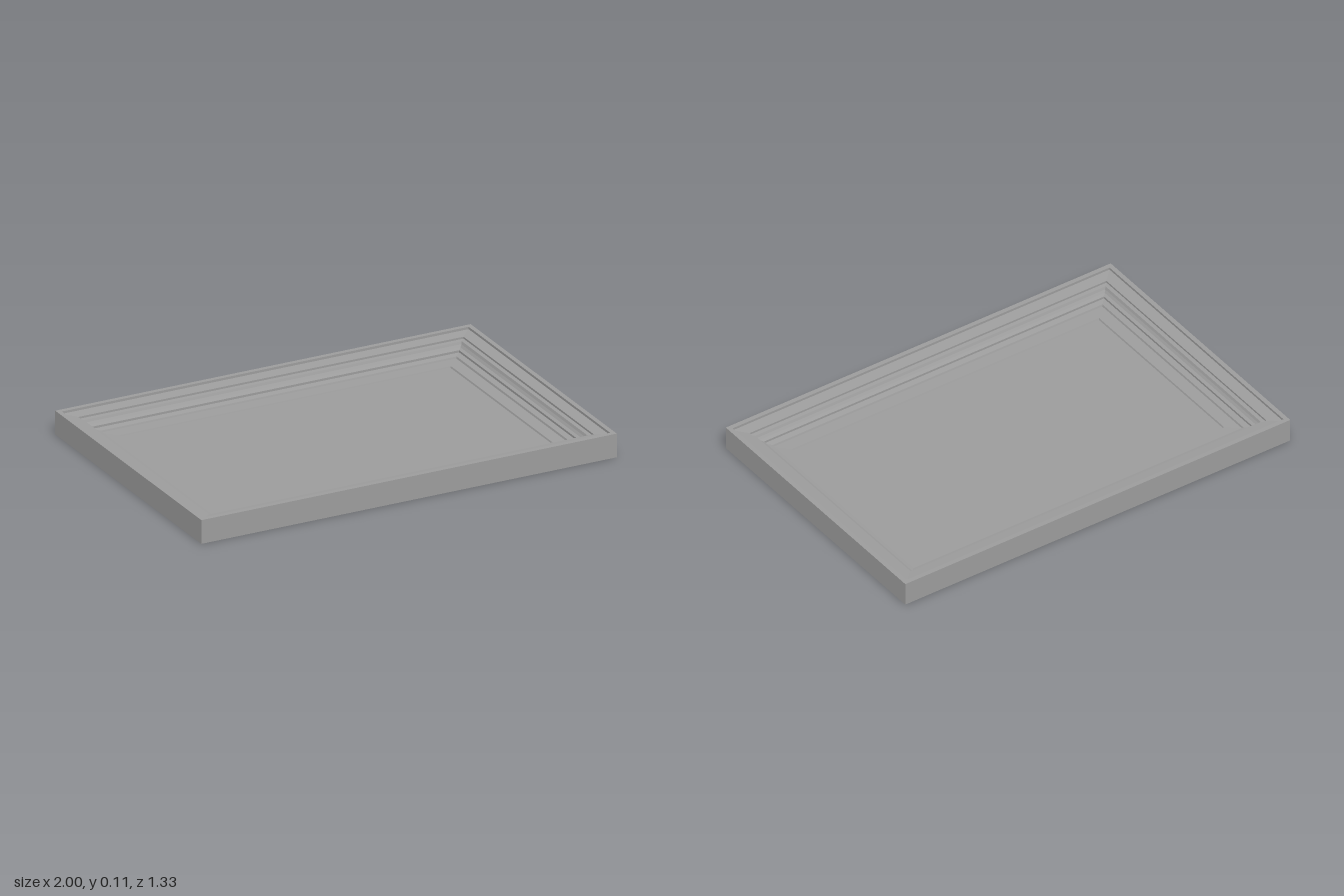
import * as THREE from 'three';

const HALF_X = 1, HALF_Z = 0.667, INSET = 0.205;

// Moulding cross-section as [inset from outer edge, height], closed loop
const PROFILE = [
  [0, 0], [0, 0.11],
  [0.021, 0.11], [0.021, 0.099],                 // outer lip
  [0.073, 0.094], [0.073, 0.085], [0.09, 0.083], // upper ledge
  [0.095, 0.072], [0.103, 0.062], [0.117, 0.057],// cove
  [0.117, 0.047], [0.143, 0.043], [0.146, 0.035],// lower step
  [0.202, 0.033], [INSET, 0.026], [INSET, 0],    // inner edge
];

// Sweep the profile around a rectangle with mitred corners
function mitredFrame(profile) {
  const corners = [[1, 1], [1, -1], [-1, -1], [-1, 1]];
  const at = ([sx, sz], [d, y]) => [sx * (HALF_X - d), y, sz * (HALF_Z - d)];
  const pos = [];
  corners.forEach((a, i) => {
    const b = corners[(i + 1) % 4];
    profile.forEach((p, j) => {
      const q = profile[(j + 1) % profile.length];
      const [pa, pb, qb, qa] = [at(a, p), at(b, p), at(b, q), at(a, q)];
      pos.push(...pa, ...pb, ...qb, ...pa, ...qb, ...qa);
    });
  });
  const g = new THREE.BufferGeometry();
  g.setAttribute('position', new THREE.Float32BufferAttribute(pos, 3));
  g.computeVertexNormals();
  return g;
}

export function createModel() {
  const group = new THREE.Group();
  group.name = 'pictureFrame';
  const material = new THREE.MeshStandardMaterial({ color: 0x9c9c9c, flatShading: true });

  const frame = new THREE.Mesh(mitredFrame(PROFILE), material);
  frame.name = 'mouldedFrame';

  // Flat panel set slightly below the inner edge and above the back
  const bottom = 0.003, top = 0.026;
  const panel = new THREE.Mesh(
    new THREE.BoxGeometry(2 * (HALF_X - INSET), top - bottom, 2 * (HALF_Z - INSET)), material);
  panel.position.y = (top + bottom) / 2;
  panel.name = 'panel';

  group.add(frame, panel);
  return group;
}
